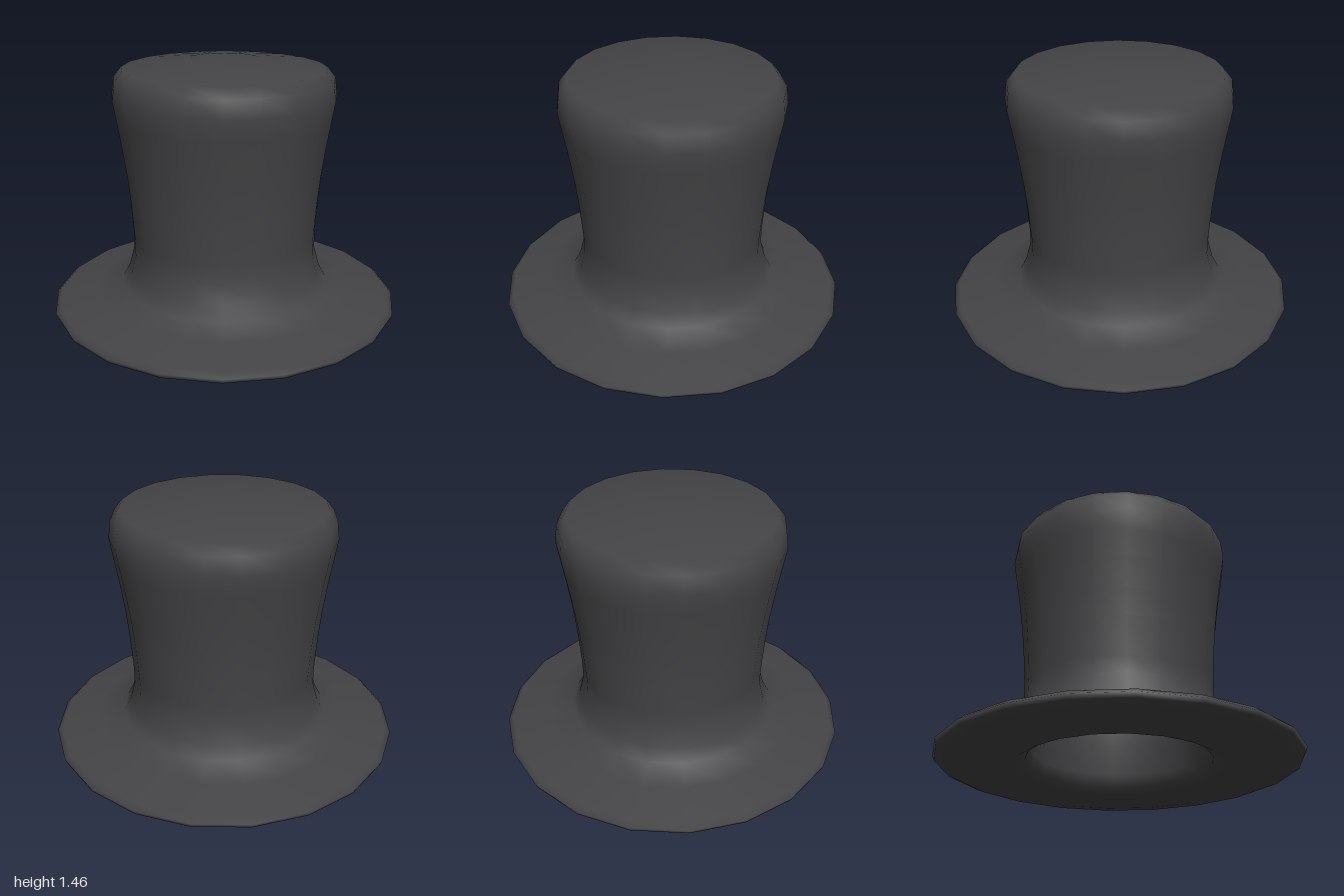
import * as THREE from 'three';

const SIDES = 20;

// Revolves a list of [radius, height] pairs around the y axis.
function revolve(name, profile, material) {
  const points = profile.map(([r, y]) => new THREE.Vector2(r, y));
  const mesh = new THREE.Mesh(new THREE.LatheGeometry(points, SIDES), material);
  mesh.name = name;
  return mesh;
}

export function createModel() {
  const group = new THREE.Group();
  group.name = 'topHat';
  const felt = new THREE.MeshStandardMaterial({ color: 0x444446, side: THREE.DoubleSide });

  // Hollow inside of the crown, from its ceiling down to the opening
  const lining = [
    [0, 1.38], [0.5, 1.35], [0.56, 1.25], [0.53, 1.0], [0.49, 0.75],
    [0.47, 0.45], [0.475, 0.3], [0.49, 0.12], [0.51, 0.05],
  ];
  // Underside and rolled edge of the brim
  const brim = [
    [0.56, 0.02], [0.68, 0.005], [0.82, 0], [0.94, 0.015],
    [0.99, 0.035], [1, 0.06], [0.97, 0.085],
  ];
  // Top of the brim sweeping up into the flared crown and domed top
  const crown = [
    [0.75, 0.12], [0.6, 0.165], [0.56, 0.24], [0.53, 0.35], [0.53, 0.45],
    [0.545, 0.67], [0.56, 0.82], [0.585, 1.0], [0.61, 1.15], [0.628, 1.26],
    [0.615, 1.36], [0.57, 1.415], [0.2, 1.46], [0, 1.46],
  ];

  // One continuous shell keeps the shading smooth from lining to crown
  group.add(revolve('hatShell', [...lining, ...brim, ...crown], felt));
  return group;
}
